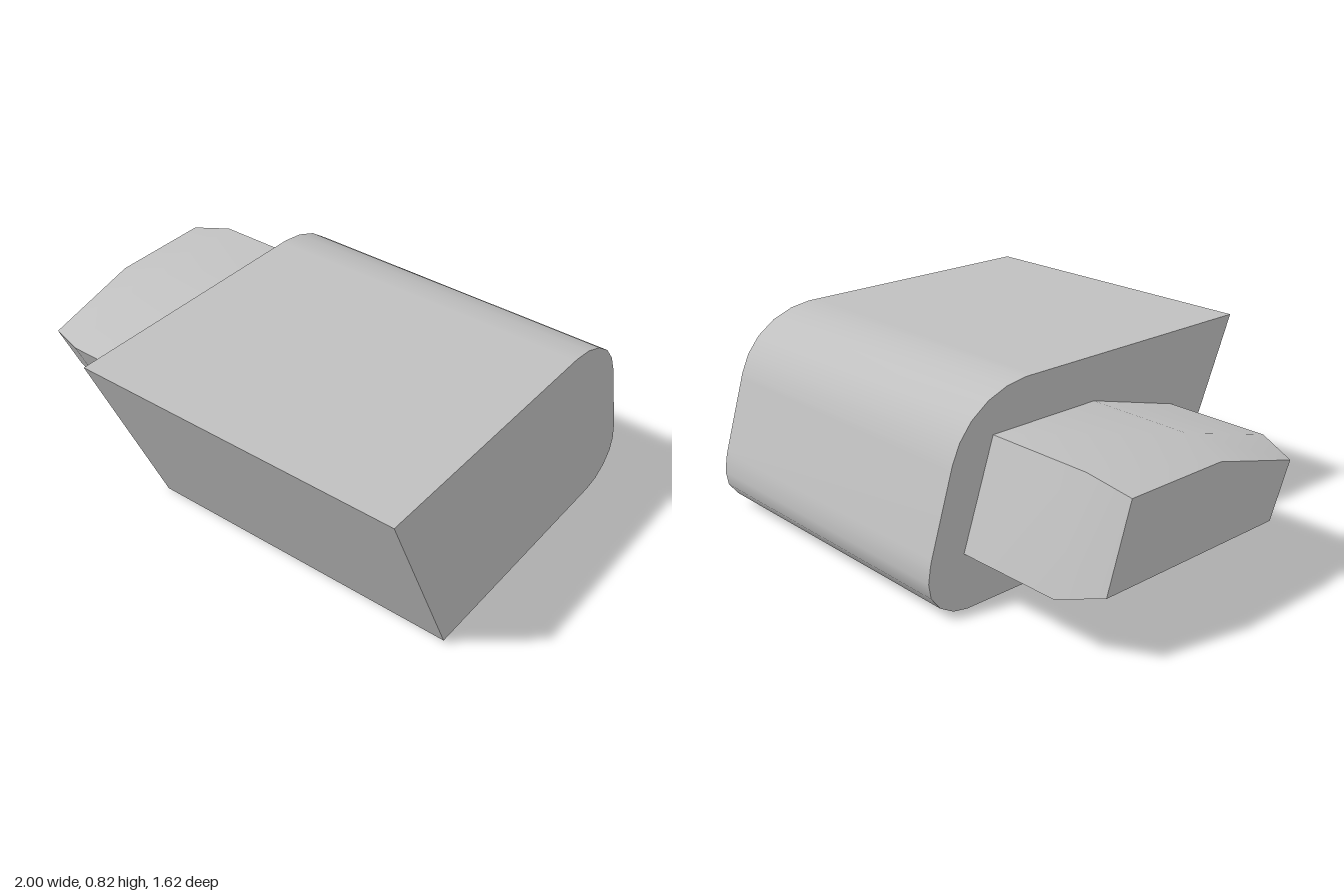
import * as THREE from 'three';
import { toCreasedNormals } from 'three/addons/utils/BufferGeometryUtils.js';

// Skins convex [z, y] cross-sections, each placed at its own x, and caps both ends
function loft(sections) {
  const positions = [];
  const rings = sections.map(({ x, ring }) => ring.map(([z, y]) => [x, y, z]));
  const tri = (a, b, c) => positions.push(...a, ...b, ...c);
  const n = rings[0].length;
  for (let s = 0; s < rings.length - 1; s++) {
    for (let i = 0; i < n; i++) {
      const j = (i + 1) % n;
      const a = rings[s][i], b = rings[s][j];
      const c = rings[s + 1][i], d = rings[s + 1][j];
      tri(a, c, d);
      tri(a, d, b);
    }
  }
  const first = rings[0], last = rings[rings.length - 1];
  for (let i = 1; i < n - 1; i++) {
    tri(first[0], first[i], first[i + 1]);
    tri(last[0], last[i + 1], last[i]);
  }
  const geometry = new THREE.BufferGeometry();
  geometry.setAttribute('position', new THREE.Float32BufferAttribute(positions, 3));
  return toCreasedNormals(geometry, THREE.MathUtils.degToRad(32));
}

export function createModel() {
  const group = new THREE.Group();
  const grey = new THREE.MeshStandardMaterial({ color: 0xc0c0c0 });
  grey.name = 'light grey';

  // Main block: raked front, rounded back
  const bodyRing = [
    [0.44, 0], [0.81, 0.825],
    [-0.31, 0.825], [-0.34, 0.825], [-0.43, 0.812], [-0.52, 0.778], [-0.6, 0.722],
    [-0.655, 0.655], [-0.69, 0.58], [-0.697, 0.558],
    [-0.793, 0.252], [-0.8, 0.225], [-0.81, 0.16], [-0.8, 0.1], [-0.76, 0.047],
    [-0.7, 0.012], [-0.635, 0], [-0.6, 0],
  ];
  // The far end is very slightly shallower
  const farRing = bodyRing.map(([z, y]) => [z * 0.996, 0.825 - (0.825 - y) * 0.991]);
  const body = new THREE.Mesh(
    loft([{ x: -0.36, ring: bodyRing }, { x: 1, ring: farRing }]), grey);
  body.name = 'mainBlock';

  // Side plug: five-sided section, tapered toward its tip
  const plugRing = [[-0.645, 0.225], [0.32, 0.225], [0.46, 0.52], [0.01, 0.645], [-0.5, 0.645]];
  const tipRing = [[-0.58, 0.275], [0.29, 0.275], [0.39, 0.49], [-0.02, 0.6], [-0.47, 0.6]];
  const plug = new THREE.Mesh(loft([
    { x: -1, ring: tipRing },
    { x: -0.82, ring: plugRing },
    { x: -0.36, ring: plugRing },
  ]), grey);
  plug.name = 'sidePlug';

  group.add(body, plug);
  return group;
}
